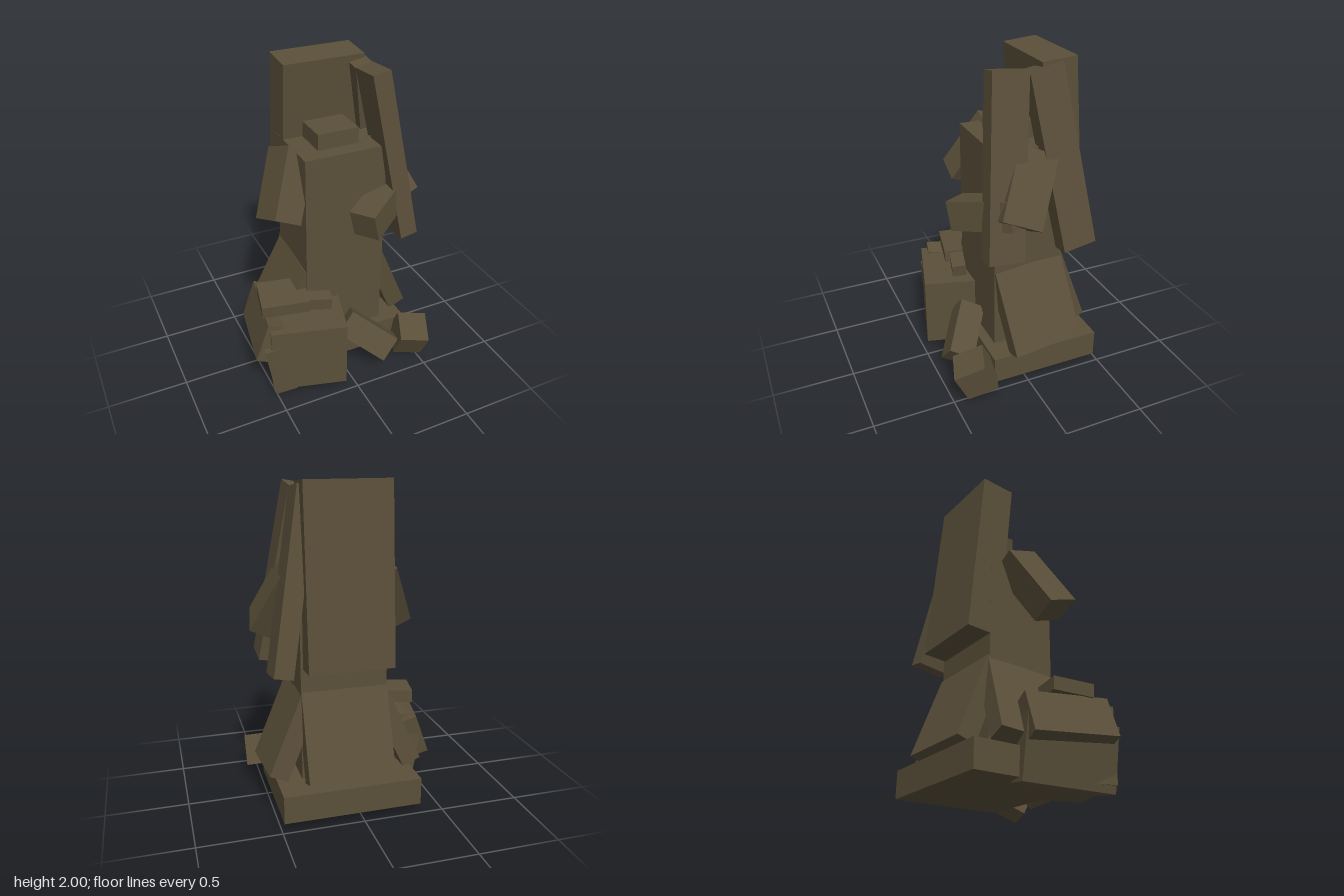
import * as THREE from 'three';

const MID = 0.065; // the figure's own mirror plane in x

export function createModel() {
  const group = new THREE.Group();
  const bronze = new THREE.MeshStandardMaterial({ color: 0x5a4f39 });

  // Box placed by its centre, its up direction and its sideways direction
  function block(name, size, centre, up = [0, 1, 0], side = [1, 0, 0]) {
    const y = new THREE.Vector3(...up).normalize();
    const z = new THREE.Vector3(...side).cross(y).normalize();
    const x = new THREE.Vector3().crossVectors(y, z);
    const mesh = new THREE.Mesh(new THREE.BoxGeometry(...size), bronze);
    mesh.name = name;
    mesh.quaternion.setFromRotationMatrix(new THREE.Matrix4().makeBasis(x, y, z));
    mesh.position.set(...centre);
    group.add(mesh);
  }

  // The same block on both sides of the figure
  function pair(name, size, c, up, s) {
    block(name + 'Right', size, c, up, s);
    block(name + 'Left', size, [2 * MID - c[0], c[1], c[2]],
      [-up[0], up[1], up[2]], [s[0], -s[1], -s[2]]);
  }

  // Plinth, torso and neck
  block('plinth', [0.85, 0.17, 0.70], [0.06, 0.135, -0.127]);
  block('torso', [0.53, 1.46, 0.44], [MID, 0.78, -0.06]);
  block('neck', [0.265, 0.12, 0.24], [0.058, 1.55, -0.06]);

  // Long hanging slabs behind and beside the torso
  block('backSlab', [0.515, 1.073, 0.213], [0.058, 1.457, -0.279], [0, 1.07, 0.091]);
  block('sideSlabFront', [0.115, 1.08, 0.22], [0.365, 1.424, 0.111],
    [-0.19, 1.07, -0.1], [0.115, 0.02, 0]);
  block('sideSlabRear', [0.115, 1.08, 0.21], [0.365, 1.427, -0.23],
    [-0.19, 1.07, 0.165], [0.115, 0.02, 0]);

  // Upper arms and the forearm held across the front
  pair('upperArm', [0.175, 0.44, 0.245], [-0.266, 1.297, 0],
    [0.168, 0.365, -0.18], [0.16, -0.07, 0]);
  block('forearm', [0.44, 0.18, 0.17], [0.293, 1.138, 0.19],
    [-0.045, 0.175, 0.015], [0.215, 0.07, -0.14]);

  // Flared skirt panels
  block('skirtBack', [0.53, 0.54, 0.12], [MID, 0.507, -0.327], [0, 0.505, 0.186]);
  pair('skirtSide', [0.12, 0.53, 0.445], [-0.255, 0.49, -0.09],
    [0.22, 0.49, 0.05], [0.91, -0.41, 0]);

  // Fallen blocks at the front
  block('leaningBlock', [0.17, 0.35, 0.16], [0.16, 0.235, 0.305],
    [-0.695, 0.52, -0.497], [-0.656, -0.75, 0.137]);
  block('cornerBlock', [0.19, 0.2, 0.2], [0.467, 0.158, 0.345],
    [0, 0.19, 0.095], [0.18, -0.035, 0.055]);

  // Crate with planks and pieces resting on it
  block('crate', [0.47, 0.45, 0.5], [-0.23, 0.275, 0.17], [0, 1, 0], [0.455, 0, 0.125]);
  block('plankLow', [0.14, 0.37, 0.56], [-0.415, 0.205, 0.085],
    [-0.06, 0.36, 0], [0.13, 0.02, 0.025]);
  block('plankHigh', [0.1, 0.26, 0.52], [-0.475, 0.385, 0.06],
    [0.09, 0.25, 0], [0.25, -0.09, 0.05]);
  block('lid', [0.3, 0.08, 0.25], [-0.35, 0.575, 0.12], [-0.03, 1, 0.05], [1, 0, 0.22]);
  block('smallBlock', [0.155, 0.08, 0.09], [-0.147, 0.552, 0.215],
    [0.1, 1, 0.1], [1, -0.1, 0.25]);

  return group;
}
